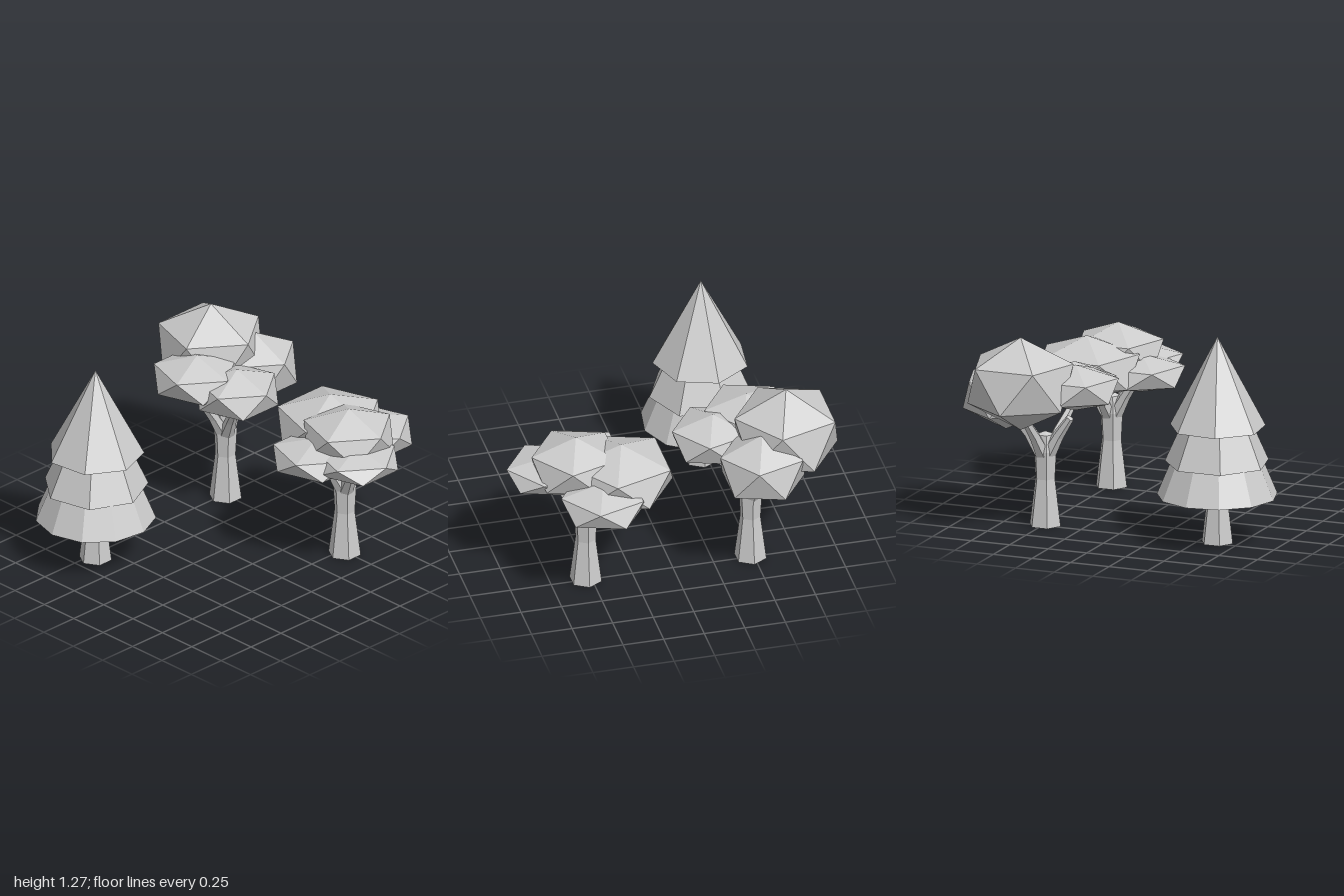
import * as THREE from 'three';

const material = new THREE.MeshStandardMaterial({ color: 0xcccccc, flatShading: true });
const rad = THREE.MathUtils.degToRad;

function add(parent, name, geometry, x = 0, y = 0, z = 0) {
  const mesh = new THREE.Mesh(geometry, material);
  mesh.name = name;
  mesh.position.set(x, y, z);
  parent.add(mesh);
  return mesh;
}

// Closed six-sided trunk from [radius, height] pairs
function trunk(profile) {
  return new THREE.LatheGeometry(profile.map(p => new THREE.Vector2(...p)), 6);
}

// Tapered limb between two points
function branch(parent, from, to, r0, r1) {
  const a = new THREE.Vector3(...from), b = new THREE.Vector3(...to);
  const dir = b.clone().sub(a);
  const mid = a.clone().add(b).multiplyScalar(0.5);
  const mesh = add(parent, 'branch', new THREE.CylinderGeometry(r1, r0, dir.length(), 6), mid.x, mid.y, mid.z);
  mesh.quaternion.setFromUnitVectors(new THREE.Vector3(0, 1, 0), dir.normalize());
}

// Flattened icosahedron standing on one of its corners
function leafClump(radius, halfHeight) {
  const g = new THREE.IcosahedronGeometry(radius, 0);
  g.rotateX(-Math.atan((1 + Math.sqrt(5)) / 2));
  g.rotateY(Math.PI / 2);
  g.scale(1, halfHeight / radius, 1);
  return g;
}

function pineTree() {
  const tree = new THREE.Group();
  tree.name = 'pineTree';
  add(tree, 'pineTrunk', trunk([[0, 0], [0.1, 0], [0.062, 0.31], [0, 0.31]]));
  // bottom, top, lower radius, upper radius, sides, turn
  const tiers = [
    [0.29, 0.49, 0.363, 0.28, 11, 0],
    [0.49, 0.71, 0.318, 0.22, 7, 39],
    [0.71, 1.267, 0.292, 0, 7, 33],
  ];
  for (const [y0, y1, r0, r1, sides, turn] of tiers) {
    const g = new THREE.CylinderGeometry(r1, r0, y1 - y0, sides, 1, false, rad(turn));
    add(tree, 'pineTier', g, 0, (y0 + y1) / 2, 0);
  }
  return tree;
}

// Clumps are [x, y, z, radius, halfHeight] relative to the trunk foot
function broadTree(name, clumps) {
  const tree = new THREE.Group();
  tree.name = name;
  add(tree, 'trunk', trunk([[0, 0], [0.1, 0], [0.063, 0.29], [0.072, 0.46], [0.05, 0.56], [0, 0.58]]));
  const limbEnds = [[-0.17, 0.68, -0.06], [0.18, 0.69, 0.09], [-0.03, 0.66, -0.19], [-0.02, 0.68, 0.17]];
  for (const [x, y, z] of limbEnds) {
    branch(tree, [x * 0.12, 0.44, z * 0.12], [x * 0.55, 0.57, z * 0.55], 0.048, 0.034);
    branch(tree, [x * 0.5, 0.557, z * 0.5], [x, y, z], 0.036, 0.024);
  }
  for (const [x, y, z, r, h] of clumps) add(tree, 'leafClump', leafClump(r, h), x, y, z);
  return tree;
}

export function createModel() {
  const model = new THREE.Group();
  model.name = 'trees';

  const pine = pineTree();
  pine.position.set(-0.46, 0, 0.617);

  const tall = broadTree('tallBroadTree', [
    [-0.2, 0.91, -0.075, 0.355, 0.285],
    [-0.01, 0.79, -0.25, 0.29, 0.22],
    [0.205, 0.82, 0.105, 0.28, 0.15],
    [-0.03, 0.875, 0.21, 0.29, 0.14],
  ]);
  tall.position.set(-0.48, 0, -0.49);

  const flat = broadTree('flatBroadTree', [
    [-0.2, 0.77, -0.075, 0.355, 0.197],
    [-0.045, 0.7, -0.25, 0.29, 0.13],
    [0.21, 0.74, 0.105, 0.28, 0.095],
    [-0.03, 0.725, 0.21, 0.29, 0.115],
    [0.055, 0.82, 0.02, 0.305, 0.18],
  ]);
  flat.position.set(0.535, 0, -0.49);

  model.add(pine, tall, flat);
  return model;
}
